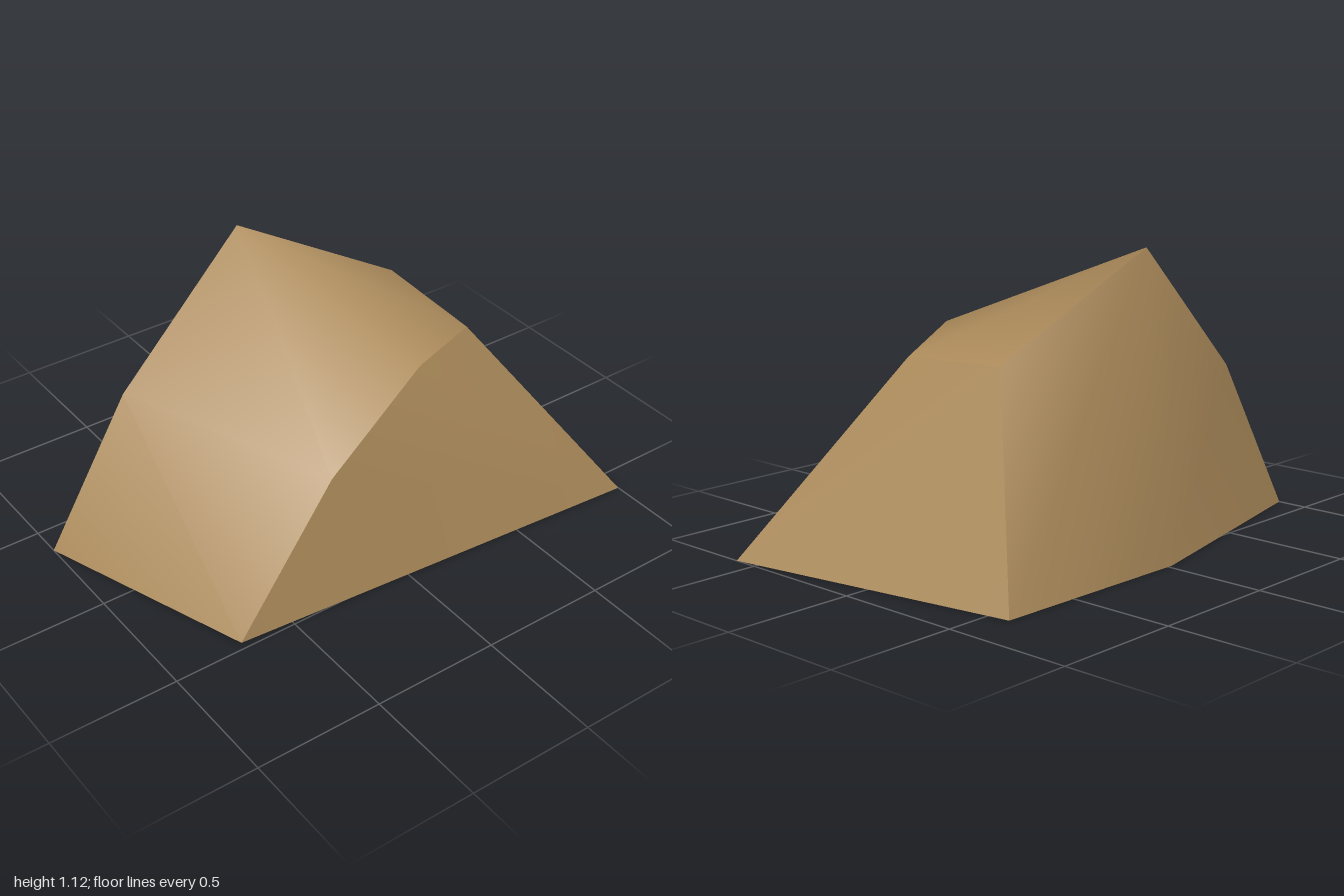
import * as THREE from 'three';

// Corner points of the boulder
const P = {
  // ground outline
  frontRight: [-0.375, 0, 1.0], frontLeft: [0.47, 0, 0.71],
  backLeft: [0.6, 0, -1.0], backRight: [-0.585, 0, -0.81], sideRight: [-0.6, 0, 0.02],
  // fold across the front slope
  foldRight: [-0.335, 0.61, 0.675], foldLeft: [0.425, 0.51, 0.28],
  // ridge and rear edge of the top
  peak: [-0.375, 1.12, 0.13], shoulder: [0.38, 0.8, -0.14],
  rearRight: [-0.26, 0.76, -0.51], rearLeft: [0.2, 0.735, -0.51],
};

// Each patch is smooth inside and sharp along its border; polygons are fans
const PATCHES = {
  frontAndTop: [
    ['frontLeft', 'foldLeft', 'foldRight', 'frontRight'],
    ['foldLeft', 'shoulder', 'peak', 'foldRight'],
    ['peak', 'shoulder', 'rearLeft', 'rearRight'],
  ],
  rightSide: [
    ['peak', 'rearRight', 'backRight', 'sideRight'],
    ['sideRight', 'frontRight', 'foldRight', 'peak'],
  ],
  leftSide: [
    ['backLeft', 'rearLeft', 'shoulder', 'foldLeft', 'frontLeft'],
  ],
  backSlope: [
    ['backLeft', 'backRight', 'rearRight', 'rearLeft'],
  ],
};

function patchGeometry(polygons) {
  const names = [...new Set(polygons.flat())];
  const index = [];
  for (const poly of polygons) {
    for (let i = 1; i < poly.length - 1; i++) {
      index.push(...[poly[0], poly[i], poly[i + 1]].map((n) => names.indexOf(n)));
    }
  }
  const geometry = new THREE.BufferGeometry();
  geometry.setAttribute('position', new THREE.Float32BufferAttribute(names.flatMap((n) => P[n]), 3));
  geometry.setIndex(index);
  geometry.computeVertexNormals();
  return geometry;
}

export function createModel() {
  const group = new THREE.Group();
  group.name = 'boulder';
  // Open underneath, so both faces show
  const stone = new THREE.MeshStandardMaterial({ color: 0xab8a5a, side: THREE.DoubleSide });
  stone.name = 'sandstone';
  for (const [name, polygons] of Object.entries(PATCHES)) {
    const mesh = new THREE.Mesh(patchGeometry(polygons), stone);
    mesh.name = name;
    group.add(mesh);
  }
  return group;
}
